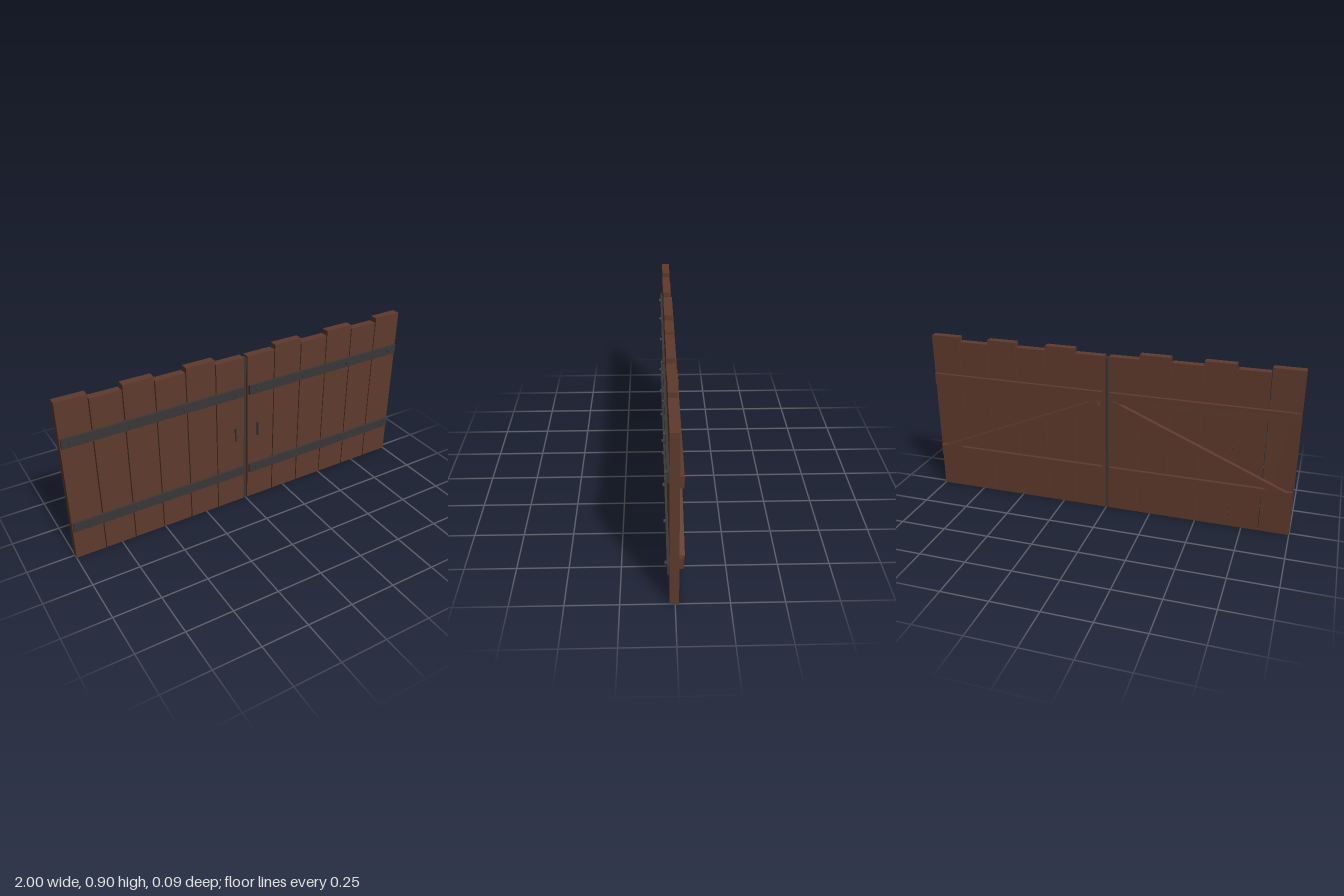
import * as THREE from 'three';

export function createModel() {
  const gate = new THREE.Group();
  gate.name = 'doubleGate';
  const wood = new THREE.MeshStandardMaterial({ color: 0x5e3a2c });
  wood.name = 'brown wood';
  const iron = new THREE.MeshStandardMaterial({ color: 0x393737 });
  iron.name = 'dark iron';

  const add = (parent, name, geometry, material, x, y, z) => {
    const mesh = new THREE.Mesh(geometry, material);
    mesh.name = name;
    mesh.position.set(x, y, z);
    parent.add(mesh);
    return mesh;
  };
  // Box given by its lower and upper limits on each axis
  const box = (parent, name, material, [x0, x1], [y0, y1], [z0, z1]) =>
    add(parent, name, new THREE.BoxGeometry(x1 - x0, y1 - y0, z1 - z0), material,
      (x0 + x1) / 2, (y0 + y1) / 2, (z0 + z1) / 2);

  const boltGeometry = new THREE.CylinderGeometry(0.01, 0.01, 0.01, 8).toNonIndexed();
  boltGeometry.rotateX(Math.PI / 2);
  boltGeometry.computeVertexNormals();

  for (const side of [-1, 1]) {
    const leaf = new THREE.Group();
    leaf.name = side < 0 ? 'rightLeaf' : 'leftLeaf';
    gate.add(leaf);
    // Horizontal span measured outwards from the middle of the gate
    const span = (a, b) => (side > 0 ? [a, b] : [-b, -a]);

    // Upright planks, alternately tall and short from the outer edge
    for (let i = 0; i < 6; i++) {
      const outer = 1 - i * 0.1657;
      box(leaf, 'plank', wood, span(outer - 0.16, outer), [0, i % 2 ? 0.88 : 0.905], [-0.018, 0.025]);
    }

    // Rear battens
    for (const y of [0.198, 0.632]) {
      box(leaf, 'batten', wood, span(0.02, 0.992), [y, y + 0.058], [-0.037, -0.018]);
    }

    // Diagonal brace rising from the outer bottom to the inner top
    const brace = add(leaf, 'brace', new THREE.BoxGeometry(1.006, 0.035, 0.025), wood,
      side * 0.503, 0.4325, -0.0305);
    brace.rotation.z = -side * 0.4;

    // Front iron straps with bolts
    for (const y of [0.197, 0.688]) {
      box(leaf, 'strap', iron, span(0.018, 0.995), [y - 0.0265, y + 0.0265], [0.025, 0.037]);
      for (const x of [0.063, 0.357, 0.652, 0.946]) {
        add(leaf, 'bolt', boltGeometry, iron, side * x, y - 0.001, 0.0405);
      }
    }

    // Pull handle
    box(leaf, 'handle', iron, span(0.063, 0.073), [0.405, 0.483], [0.035, 0.044]);
  }

  // Iron rod filling the gap between the leaves
  box(gate, 'centreRod', iron, [-0.0075, 0.0075], [0, 0.87], [-0.012, 0.018]);
  return gate;
}
